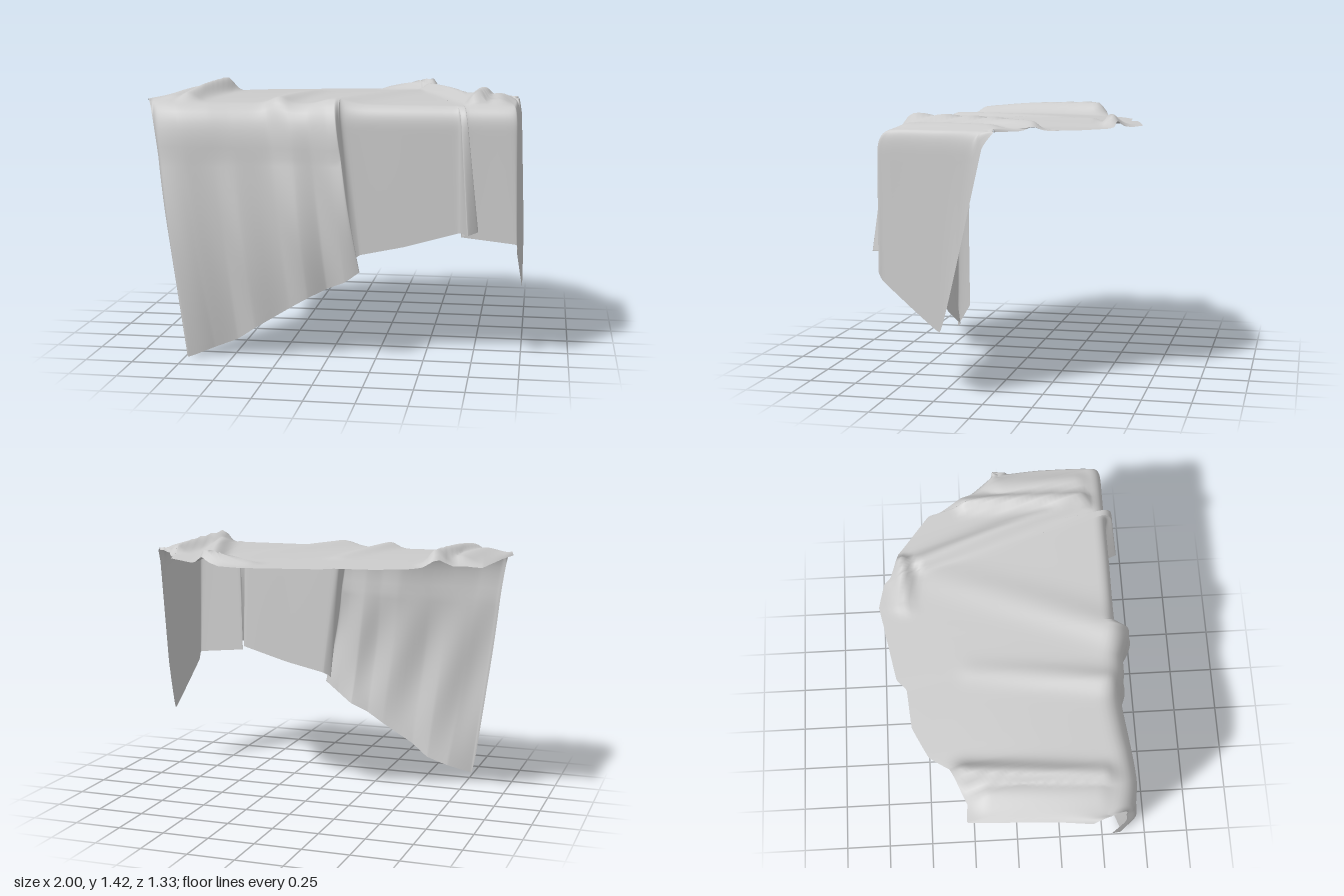
import * as THREE from 'three';

const { lerp, clamp, smoothstep } = THREE.MathUtils;
const BACK_Y = 1.33, SHOULDER_Y = 1.337;

// Each cloth strip runs from the back edge, over the shoulder, down to the hem.
// Back edge of the top sheet, from the left flap round to the side: x, z
const BACK = [
  [-1, 0.35], [-0.98, 0.16], [-0.96, -0.26], [-0.87, -0.26], [-0.69, -0.34], [-0.62, -0.44],
  [-0.46, -0.52], [-0.26, -0.54], [-0.2, -0.59], [0, -0.63], [0.04, -0.64], [0.08, -0.645],
  [0.2, -0.67], [0.33, -0.64], [0.36, -0.61], [0.46, -0.57], [0.5, -0.56], [0.71, -0.4],
  [0.73, -0.34], [0.79, -0.25], [0.81, -0.19], [0.92, -0.06], [0.95, -0.05],
];

// Shoulder line where the cloth turns downwards: x, z
const SHOULDER = [
  [-0.93, 0.54], [-0.9, 0.58], [-0.78, 0.61], [-0.62, 0.6], [-0.5, 0.58], [-0.32, 0.56],
  [-0.2, 0.59], [-0.1, 0.6], [0, 0.63], [0.04, 0.635], [0.06, 0.58], [0.09, 0.55],
  [0.4, 0.55], [0.66, 0.55], [0.68, 0.57], [0.71, 0.58], [0.715, 0.545], [0.94, 0.54],
  [0.965, 0.5], [0.97, 0.25], [0.965, 0.1], [0.96, 0.03], [0.955, -0.045],
];

// Lower hem, including the two overlapping pleats: x, y, z
const HEM = [
  [-0.775, 0.13, 0.545], [-0.735, 0, 0.615], [-0.6, 0.045, 0.56], [-0.48, 0.09, 0.545],
  [-0.38, 0.16, 0.57], [-0.2, 0.27, 0.56], [-0.1, 0.33, 0.57], [0, 0.38, 0.55],
  [0.1, 0.43, 0.61], [0.18, 0.49, 0.62], [0.13, 0.53, 0.56], [0.17, 0.56, 0.53],
  [0.4, 0.61, 0.53], [0.68, 0.69, 0.53], [0.73, 0.7, 0.65], [0.78, 0.71, 0.59],
  [0.69, 0.67, 0.53], [0.97, 0.64, 0.535], [0.975, 0.59, 0.51], [1, 0.35, 0.215],
  [1, 0.65, 0.135], [0.975, 1.25, 0.005], [0.96, 1.33, -0.05],
];

// Creases on the top sheet: x1, z1, x2, z2, height at start, height at end, width
const CREASES = [
  [-0.72, -0.27, -0.76, 0.42, 0.085, 0.045, 0.055],
  [-0.82, -0.15, -0.84, 0.38, 0.04, 0.025, 0.08],
  [0.2, -0.54, 0.44, -0.54, 0.02, 0.075, 0.04],
  [0.44, -0.45, 0.76, 0.42, 0.045, 0.04, 0.05],
  [0.77, -0.2, 0.755, 0.42, 0.04, 0.075, 0.04],
  [0.85, 0, 0.86, 0.4, 0.02, 0.03, 0.06],
  [0.35, -0.35, 0.03, 0.5, 0.01, 0.03, 0.09],
  [-0.18, -0.2, -0.27, 0.5, 0.01, 0.035, 0.06],
];

function creaseHeight(x, z) {
  let h = 0;
  for (const [x1, z1, x2, z2, h1, h2, width] of CREASES) {
    const dx = x2 - x1, dz = z2 - z1;
    const t = clamp(((x - x1) * dx + (z - z1) * dz) / (dx * dx + dz * dz), 0, 1);
    const d = Math.hypot(x - x1 - t * dx, z - z1 - t * dz);
    h = Math.max(h, lerp(h1, h2, t) * Math.exp(-((d / width) ** 2)));
  }
  return h;
}

// Low tension keeps the cut edges almost straight between corners
const edgeCurve = (pts, tension) =>
  new THREE.CatmullRomCurve3(pts.map((p) => new THREE.Vector3(...p)), false, 'catmullrom', tension);
const atHeight = (pts, y) => pts.map(([x, z]) => [x, y, z]);

function clothGeometry() {
  const back = edgeCurve(atHeight(BACK, BACK_Y), 0.1);
  const shoulder = edgeCurve(atHeight(SHOULDER, SHOULDER_Y), 0.35);
  const hem = edgeCurve(HEM, 0.1);
  const cols = (HEM.length - 1) * 8, topRows = 36, bendRows = 10, dropRows = 20;
  const rows = topRows + bendRows + dropRows;
  const pos = [], index = [];

  for (let i = 0; i <= cols; i++) {
    const u = i / cols;
    const a = back.getPoint(u), b = shoulder.getPoint(u), c = hem.getPoint(u);
    const longPart = 1 - smoothstep(u * (HEM.length - 1), 8.5, 10.5);
    // rounded bend between the top and the hanging part, softer on the long drape
    const ab = a.distanceTo(b), bc = b.distanceTo(c);
    const p = b.clone().lerp(a, Math.min(lerp(0.08, 0.14, longPart), ab / 2) / ab);
    const q = b.clone().lerp(c, Math.min(lerp(0.12, 0.28, longPart), bc / 2) / bc);
    const bend = new THREE.QuadraticBezierCurve3(p, b, q);

    for (let j = 0; j <= rows; j++) {
      let v;
      if (j <= topRows) {
        v = a.clone().lerp(p, j / topRows);
        v.y += 0.012 * Math.sin(Math.PI * j / topRows);
      } else if (j <= topRows + bendRows) v = bend.getPoint((j - topRows) / bendRows);
      else {
        const s = (j - topRows - bendRows) / dropRows;
        v = q.clone().lerp(c, s);
        // soft belly and slanting folds in the long front drape
        const ripple = 0.014 * Math.sin(20 * (v.x + 0.3 * v.y));
        v.z += longPart * Math.sin(Math.PI * s) * (0.03 + ripple);
      }
      const flat = clamp((v.y - 1.2) / 0.13, 0, 1);
      v.y += flat * creaseHeight(v.x, v.z);
      pos.push(v.x, v.y, v.z);

      if (i < cols && j < rows) {
        const k = i * (rows + 1) + j, n = k + rows + 1;
        index.push(k, k + 1, n, k + 1, n + 1, n);
      }
    }
  }
  const geo = new THREE.BufferGeometry();
  geo.setAttribute('position', new THREE.Float32BufferAttribute(pos, 3));
  geo.setIndex(index);
  geo.computeVertexNormals();
  return geo;
}

export function createModel() {
  const group = new THREE.Group();
  group.name = 'drapedCloth';
  const material = new THREE.MeshStandardMaterial({ color: 0xcccccc, side: THREE.DoubleSide });
  const cloth = new THREE.Mesh(clothGeometry(), material);
  cloth.name = 'clothSheet';
  group.add(cloth);
  return group;
}
